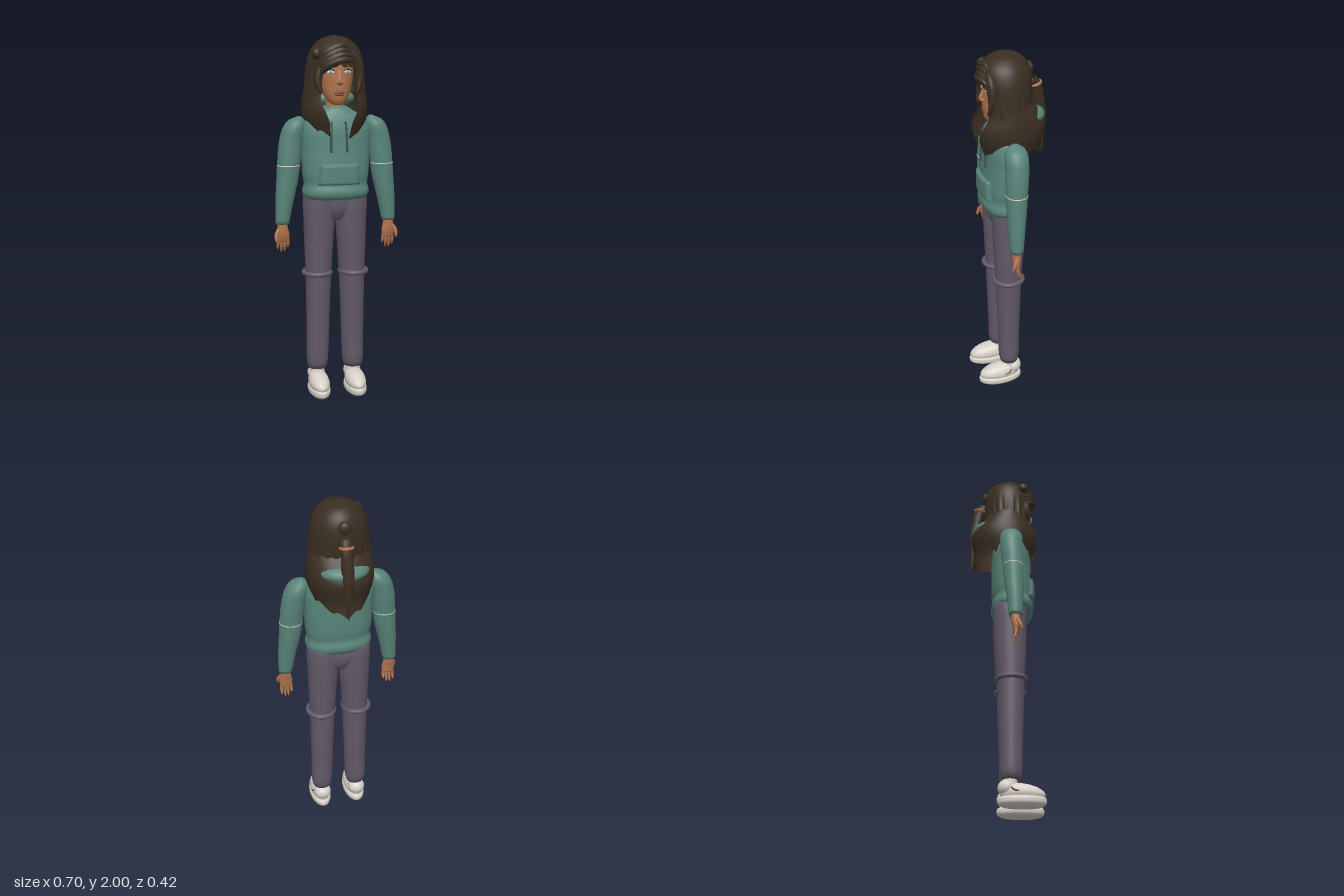
import * as THREE from 'three';
import { mergeVertices } from 'three/addons/utils/BufferGeometryUtils.js';

const mat = (name, color, side = THREE.FrontSide) => new THREE.MeshStandardMaterial({ name, color, side });
const M = {
  hair: mat('dark brown hair', 0x3a2e22, THREE.DoubleSide),
  skin: mat('skin', 0xb0744e),
  top: mat('teal fabric', 0x588479, THREE.DoubleSide),
  cord: mat('dark teal cord', 0x34544e),
  trousers: mat('purple grey fabric', 0x625969),
  shoe: mat('off white', 0xd6d1c8),
  eye: mat('eye white', 0xe8e4de),
  iris: mat('cyan iris', 0x4fa9b3),
  lip: mat('lip brown', 0x7d4636),
};
const { lerp, smoothstep } = THREE.MathUtils;

export function createModel() {
  const model = new THREE.Group();
  model.name = 'hoodedFigure';

  function add(name, geometry, material, x = 0, y = 0, z = 0) {
    const mesh = new THREE.Mesh(geometry, material);
    mesh.name = name;
    mesh.position.set(x, y, z);
    model.add(mesh);
    return mesh;
  }

  // Smooth grid surface from fn(u, v) -> [x, y, z]; u runs right, v runs up
  function surface(fn, nu, nv) {
    const pos = [], idx = [];
    for (let i = 0; i <= nv; i++)
      for (let j = 0; j <= nu; j++) pos.push(...fn(j / nu, i / nv));
    for (let i = 0; i < nv; i++)
      for (let j = 0; j < nu; j++) {
        const a = i * (nu + 1) + j, b = a + nu + 1;
        idx.push(a, a + 1, b, a + 1, b + 1, b);
      }
    let g = new THREE.BufferGeometry();
    g.setAttribute('position', new THREE.Float32BufferAttribute(pos, 3));
    g.setIndex(idx);
    g = mergeVertices(g, 1e-5);
    g.computeVertexNormals();
    return g;
  }

  // Smooth lookup through rows whose first entry is y, in rising order
  function profile(rows) {
    const f = new THREE.CubicInterpolant(rows.map(r => r[0]), rows.flatMap(r => r.slice(1)), rows[0].length - 1);
    return y => [...f.evaluate(y)];
  }

  // Closed stack of rounded sections, rows [y, centreX, radiusX, centreZ, radiusZ]
  function loft(rows, { e = 2, s = 1, n = 36, nv = rows.length * 4 } = {}) {
    const at = profile(rows), y0 = rows[0][0], y1 = rows[rows.length - 1][0];
    const pw = t => Math.sign(t) * Math.abs(t) ** (2 / e);
    return surface((u, v) => {
      const y = lerp(y0, y1, Math.min(1, Math.max(0, (v * (nv + 2) - 1) / nv)));
      const [cx, rx, cz, rz] = at(y), k = v === 0 || v === 1 ? 0 : 1;
      const a = (u % 1) * Math.PI * 2;
      return [s * cx + k * rx * pw(Math.sin(a)), y, cz + k * rz * pw(Math.cos(a))];
    }, n, nv + 2);
  }

  // Tube along points, with radius shaped by taper(t)
  function sweep(points, r, taper = () => 1, n = 10) {
    const curve = new THREE.CatmullRomCurve3(points.map(p => new THREE.Vector3(...p)));
    const g = new THREE.TubeGeometry(curve, 20, r, n), p = g.attributes.position, q = new THREE.Vector3();
    for (let i = 0; i < p.count; i++) {
      const t = Math.floor(i / (n + 1)) / 20;
      q.fromBufferAttribute(p, i);
      q.lerp(curve.getPointAt(t), 1 - taper(t));
      p.setXYZ(i, q.x, q.y, q.z);
    }
    g.computeVertexNormals();
    return g;
  }
  const lens = t => Math.sqrt(Math.max(0, Math.sin(Math.PI * t)));
  const tip = t => Math.sqrt(Math.max(0, 1 - t ** 4));

  function ball(name, m, x, y, z, rx, ry, rz) {
    return add(name, new THREE.SphereGeometry(1, 24, 16).scale(rx, ry, rz), m, x, y, z);
  }

  // Hooded top with gathered hem
  add('torso', loft([
    [1.12, 0, 0.165, 0.035, 0.1], [1.135, 0, 0.18, 0.035, 0.113], [1.17, 0, 0.183, 0.035, 0.117],
    [1.195, 0, 0.176, 0.035, 0.108], [1.25, 0, 0.183, 0.033, 0.113], [1.4, 0, 0.19, 0.027, 0.108],
    [1.5, 0, 0.19, 0.025, 0.102], [1.56, 0, 0.16, 0.022, 0.09], [1.595, 0, 0.1, 0.02, 0.078],
    [1.62, 0, 0.062, 0.02, 0.06]], { e: 2.4, n: 48 }), M.top);
  add('frontPocket', surface((u, v) => {
    const a = u * 2 - 1, b = v * 2 - 1, x = a * (0.118 - 0.008 * v);
    return [x, 1.26 + b * 0.06, 0.137 - 1.1 * x * x + 0.026 * ((1 - a ** 12) * (1 - b ** 12)) ** 0.6];
  }, 28, 16), M.top);
  ball('hood', M.top, 0, 1.655, -0.095, 0.135, 0.052, 0.102);
  for (const x of [-0.04, 0.037])
    add('drawstring', sweep([[x, 1.545, 0.118], [x * 1.1, 1.47, 0.131], [x * 1.15, 1.38, 0.138]], 0.006), M.cord);

  // Hips
  add('hips', loft([[1.0, 0, 0.05, 0.022, 0.06], [1.05, 0, 0.14, 0.022, 0.085], [1.15, 0, 0.17, 0.025, 0.09]]), M.trousers);

  for (const s of [-1, 1]) {
    // Sleeve, elbow seam and hand
    add('sleeve', loft([
      [0.985, 0.3, 0.038, 0.045, 0.036], [1.1, 0.287, 0.049, 0.042, 0.045], [1.24, 0.267, 0.061, 0.036, 0.055],
      [1.3, 0.261, 0.063, 0.034, 0.058], [1.45, 0.243, 0.064, 0.026, 0.062], [1.52, 0.224, 0.058, 0.025, 0.06],
      [1.55, 0.212, 0.042, 0.025, 0.045], [1.567, 0.2, 0.012, 0.025, 0.015]], { s }), M.top);
    add('elbowSeam', new THREE.TorusGeometry(1, 0.045, 6, 36).rotateX(Math.PI / 2).scale(0.062, 0.07, 0.058),
      M.shoe, s * 0.261, 1.305, 0.034);
    add('hand', loft([
      [0.885, 0.297, 0.033, 0.045, 0.014], [0.92, 0.298, 0.037, 0.048, 0.02],
      [0.96, 0.299, 0.03, 0.046, 0.025], [1.0, 0.299, 0.026, 0.045, 0.025]], { s, n: 20 }), M.skin);
    for (let i = 0; i < 4; i++) {
      const x = 0.272 + i * 0.0165, low = [0.845, 0.822, 0.82, 0.835][i];
      add('finger', sweep([[s * x, 0.91, 0.048], [s * (x + (i - 1.5) * 0.002), 0.865, 0.043],
        [s * (x + (i - 1.5) * 0.002), low, 0.03]], 0.009, tip, 8), M.skin);
    }
    add('thumb', sweep([[s * 0.32, 0.955, 0.05], [s * 0.337, 0.925, 0.066], [s * 0.338, 0.885, 0.08]], 0.011, tip, 8), M.skin);

    // Trouser leg with knee ring
    add('trouserLeg', loft([
      [0.14, 0.103, 0.052, 0.026, 0.05], [0.165, 0.103, 0.058, 0.026, 0.056], [0.3, 0.1, 0.063, 0.026, 0.06],
      [0.5, 0.098, 0.067, 0.026, 0.067], [0.7, 0.095, 0.073, 0.026, 0.074], [0.85, 0.093, 0.08, 0.024, 0.083],
      [1.0, 0.09, 0.087, 0.023, 0.09], [1.1, 0.09, 0.09, 0.023, 0.093], [1.15, 0.088, 0.086, 0.024, 0.09]], { s, n: 32 }), M.trousers);
    add('kneeRing', new THREE.TorusGeometry(0.077, 0.014, 12, 40).rotateX(Math.PI / 2).scale(0.96, 1, 1.02),
      M.trousers, s * 0.103, 0.697, 0.028);

    // Shoe
    add('sole', loft([
      [0, 0.105, 0.045, 0.08, 0.1], [0.012, 0.105, 0.057, 0.08, 0.121], [0.03, 0.105, 0.061, 0.08, 0.127],
      [0.045, 0.105, 0.057, 0.08, 0.123], [0.052, 0.105, 0.048, 0.08, 0.11]], { s }), M.shoe);
    add('shoeUpper', loft([
      [0.045, 0.105, 0.052, 0.085, 0.112], [0.065, 0.105, 0.057, 0.084, 0.117], [0.09, 0.105, 0.053, 0.075, 0.105],
      [0.11, 0.105, 0.04, 0.06, 0.08], [0.122, 0.105, 0.018, 0.05, 0.045]], { s }), M.shoe);
    ball('shoeCollar', M.shoe, s * 0.105, 0.097, 0.002, 0.05, 0.046, 0.048);
    add('sockTop', new THREE.CylinderGeometry(0.037, 0.042, 0.05, 24), M.shoe, s * 0.104, 0.13, 0.018);
    add('lace', sweep([[s * 0.157, 0.07, 0.065], [s * 0.157, 0.077, 0.04], [s * 0.15, 0.092, 0.025]], 0.005), M.lip);

    // Eye and brow
    ball('eye', M.eye, s * 0.046, 1.808, 0.12, 0.021, 0.011, 0.01).rotation.y = s * 0.4;
    ball('iris', M.iris, s * 0.045, 1.808, 0.127, 0.0095, 0.0095, 0.0045).rotation.y = s * 0.3;
    add('upperLid', sweep([[s * 0.022, 1.813, 0.13], [s * 0.046, 1.822, 0.127], [s * 0.07, 1.812, 0.112]], 0.004, lens, 6), M.hair);
    add('brow', sweep([[s * 0.02, 1.832, 0.133], [s * 0.05, 1.842, 0.126], [s * 0.077, 1.832, 0.108]], 0.006, lens, 6), M.hair);
    ball('nostril', M.skin, s * 0.012, 1.753, 0.137, 0.01, 0.009, 0.011);
  }

  // Neck, head and face
  add('neck', new THREE.CylinderGeometry(0.048, 0.054, 0.12, 28), M.skin, 0, 1.62, 0.02);
  add('head', loft([
    [1.633, 0, 0.025, 0.088, 0.028], [1.65, 0, 0.048, 0.072, 0.055], [1.69, 0, 0.073, 0.047, 0.087],
    [1.75, 0, 0.09, 0.032, 0.103], [1.82, 0, 0.097, 0.024, 0.109], [1.88, 0, 0.095, 0.02, 0.105],
    [1.94, 0, 0.06, 0.018, 0.065]]), M.skin);
  add('nose', sweep([[0, 1.82, 0.125], [0, 1.785, 0.137], [0, 1.757, 0.145], [0, 1.745, 0.132]], 0.013, t => 0.55 + 0.45 * t), M.skin);
  ball('upperLip', M.lip, 0, 1.7, 0.133, 0.03, 0.006, 0.008);
  ball('lowerLip', M.lip, 0, 1.689, 0.131, 0.025, 0.007, 0.009);

  // Hair cap, cut away around the face and grooved down the sides
  const capAt = profile([
    [1.67, 0.166, 0.137, 0.018], [1.75, 0.164, 0.14, 0.017], [1.82, 0.159, 0.142, 0.017], [1.88, 0.148, 0.141, 0.018],
    [1.93, 0.126, 0.127, 0.018], [1.965, 0.094, 0.098, 0.016], [1.988, 0.054, 0.056, 0.014], [2, 0, 0, 0.014]]);
  add('hairCap', surface((u, v) => {
    const a = (u % 1) * Math.PI * 2, front = Math.min(a, Math.PI * 2 - a);
    const low = lerp(1.842, 1.68, smoothstep(front, 0.52, 0.68)) + 0.008 * Math.cos(a * 22);
    const y = lerp(low, 2, 1 - (1 - v) ** 2), [rx, rz, cz] = capAt(Math.min(y, 2));
    const k = v === 1 ? 0 : 1 + 0.018 * Math.cos(a * 22) * (1 - smoothstep(y, 1.74, 1.88));
    return [k * rx * Math.sin(a), y, cz + k * rz * Math.cos(a)];
  }, 132, 28), M.hair);

  // Long hair falling over the shoulders, open at the front with a ragged end
  const fallAt = profile([
    [1.38, 0.09, 0.14, -0.055], [1.44, 0.132, 0.165, -0.02], [1.5, 0.16, 0.175, -0.005], [1.56, 0.177, 0.193, -0.002],
    [1.62, 0.18, 0.198, -0.002], [1.68, 0.174, 0.165, 0], [1.74, 0.163, 0.135, 0.015]]);
  add('longHair', surface((u, v) => {
    const gap = lerp(0.36, 0.62, smoothstep(v, 0.25, 0.7));
    const a = lerp(gap, Math.PI * 2 - gap, u);
    const low = 1.475 + 0.014 * Math.cos(a * 9) - 0.045 * smoothstep(-Math.cos(a), 0.6, 1)
      - 0.025 * Math.sin(a) * Math.max(0, Math.cos(a));
    const y = lerp(low, 1.74, v), [rx, rz, cz] = fallAt(y);
    return [rx * Math.sin(a), y, cz + rz * Math.cos(a)];
  }, 96, 24), M.hair);

  // Swept fringe from the parting
  for (let i = 0; i < 4; i++) {
    const d = i * 0.024;
    add('fringeLock', sweep([[0.085 - d * 0.4, 1.86 + d, 0.138 - d * 0.2], [0.02, 1.875 + d, 0.155 - d * 0.4],
      [-0.06, 1.845 + d, 0.14 - d * 0.2], [-0.122, 1.775 + d * 1.3, 0.095]], 0.023, lens), M.hair);
  }
  add('fringeSide', sweep([[0.05, 1.93, 0.125], [0.1, 1.87, 0.118], [0.115, 1.78, 0.115], [0.1, 1.69, 0.135]], 0.022, lens), M.hair);
  add('fringeSide', sweep([[-0.08, 1.86, 0.118], [-0.113, 1.78, 0.115], [-0.1, 1.69, 0.135]], 0.02, lens), M.hair);

  // Knots and ponytail
  ball('sideKnot', M.hair, -0.118, 1.905, 0.1, 0.027, 0.032, 0.03);
  ball('backKnot', M.hair, 0, 1.9, -0.115, 0.036, 0.036, 0.025);
  add('ponytail', sweep([[0, 1.835, -0.125], [0, 1.8, -0.152], [0, 1.72, -0.17], [0, 1.6, -0.185], [0, 1.44, -0.195], [0, 1.405, -0.2]],
    0.034, t => t < 0.5 ? 1 : Math.max(0.05, 1 - (t - 0.5) * 1.9)), M.hair);
  add('hairTie', new THREE.TorusGeometry(0.032, 0.008, 10, 28).rotateX(Math.PI / 2 + 0.25), M.skin, 0, 1.808, -0.15);

  return model;
}
